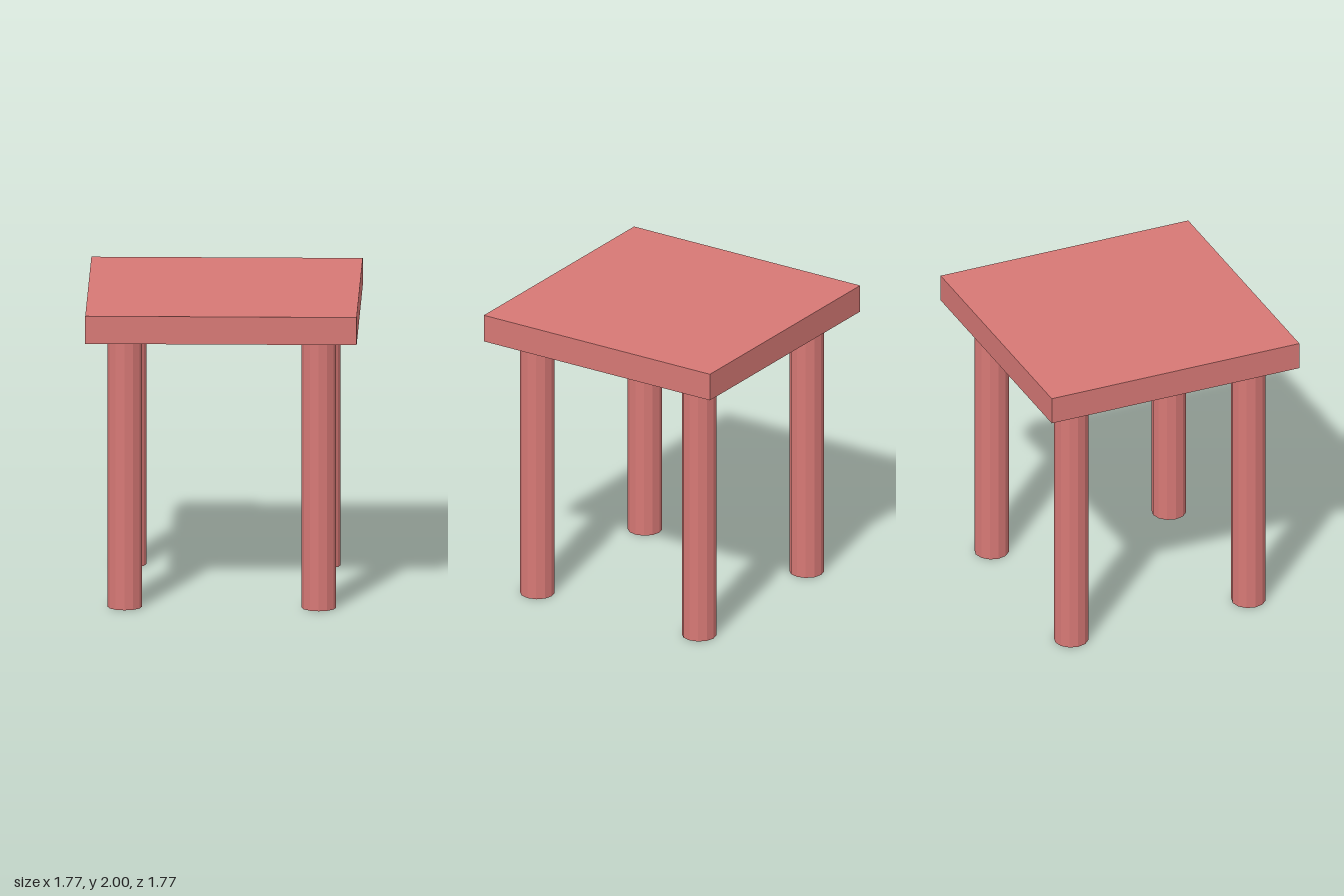
import * as THREE from 'three';

export function createModel() {
  const model = new THREE.Group();
  model.name = 'squareTable';

  const coral = new THREE.MeshStandardMaterial({ color: 0xd67875, flatShading: true });
  coral.name = 'coral red';

  const height = 2;
  const topSize = 1.774;
  const topThickness = 0.185;
  const legRadius = 0.113;
  const legOffset = 0.635;
  const legHeight = height - topThickness;

  // Square slab top
  const top = new THREE.Mesh(new THREE.BoxGeometry(topSize, topThickness, topSize), coral);
  top.name = 'tableTop';
  top.position.y = height - topThickness / 2;
  model.add(top);

  // Four faceted round legs, one near each corner
  const legGeometry = new THREE.CylinderGeometry(legRadius, legRadius, legHeight, 12);
  for (const [zName, z] of [['front', 1], ['back', -1]]) {
    for (const [xName, x] of [['Left', 1], ['Right', -1]]) {
      const leg = new THREE.Mesh(legGeometry, coral);
      leg.name = `${zName}${xName}Leg`;
      leg.position.set(x * legOffset, legHeight / 2, z * legOffset);
      model.add(leg);
    }
  }

  return model;
}
